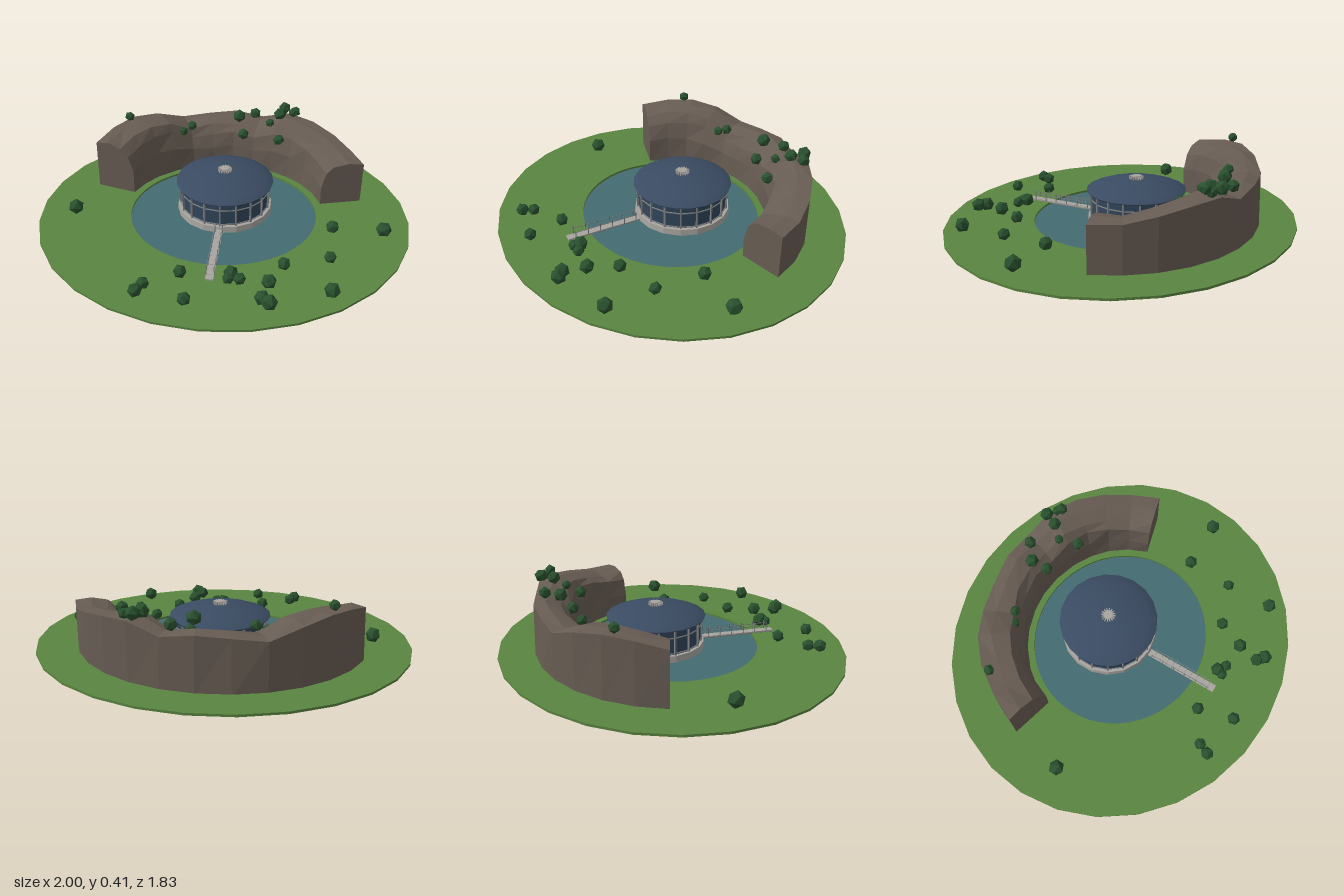
import * as THREE from 'three';

const mat = (name, color, extra = {}) => {
  const m = new THREE.MeshStandardMaterial({ color, ...extra });
  m.name = name;
  return m;
};

export function createModel() {
  const grass = mat('grass', 0x5a8540, { flatShading: true });
  const water = mat('water', 0x436b70);
  const rock = mat('rock', 0x675c53, { flatShading: true });
  const roofBlue = mat('roof blue', 0x3a4b62);
  const glassBlue = mat('glass blue', 0x31465c, { flatShading: true });
  const frameGrey = mat('frame grey', 0x7d8082);
  const stone = mat('pale stone', 0xa8a5a0, { flatShading: true });
  const leaf = mat('leaf green', 0x29502e, { flatShading: true });

  const root = new THREE.Group();
  root.name = 'lakesidePavilion';
  const group = (name, parent = root) => {
    const g = new THREE.Group();
    g.name = name;
    parent.add(g);
    return g;
  };
  const add = (parent, name, geo, material, x = 0, y = 0, z = 0) => {
    const m = new THREE.Mesh(geo, material);
    m.name = name;
    m.position.set(x, y, z);
    parent.add(m);
    return m;
  };

  // Grass island with an oval hole for the lake
  const oval = (rx, ry, n, cy = 0) => Array.from({ length: n }, (_, i) => {
    const a = (i / n) * Math.PI * 2;
    return new THREE.Vector2(Math.cos(a) * rx, Math.sin(a) * ry + cy);
  });
  const island = new THREE.Shape(oval(1, 0.917, 28));
  island.holes.push(new THREE.Path(oval(0.506, 0.47, 56, 0.005)));
  const islandGeo = new THREE.ExtrudeGeometry(island, { depth: 0.012, bevelEnabled: false });
  add(root, 'grassIsland', islandGeo.rotateX(-Math.PI / 2), grass, 0, 0.021, 0);

  // Lake
  const lake = new THREE.CylinderGeometry(1, 1, 0.021, 56).scale(0.533, 1, 0.491);
  add(root, 'lake', lake, water, 0, 0.0105, 0);

  // Cliff: a rocky cross-section swept round the back of the lake
  let seed = 11;
  const rand = () => (seed = (seed * 16807) % 2147483647) / 2147483647;
  const heights = [0.325, 0.345, 0.355, 0.345, 0.275, 0.295, 0.305, 0.29, 0.335, 0.33, 0.305, 0.278, 0.275];
  const section = [[0, 0], [0.03, 0.5], [0.13, 0.8], [0.28, 0.93], [0.65, 1], [0.97, 0.97], [1, 0]];
  const base = 0.016;
  const n = section.length;
  const rows = heights.map((h, i) => {
    const a = THREE.MathUtils.degToRad(164 - (148 * i) / (heights.length - 1));
    return section.map(([s, v], j) => {
      const edge = j === 0 || j === n - 1;
      const t = edge ? s : Math.min(1, s + (rand() - 0.5) * 0.08);
      const y = edge ? base : base + (h - base) * v + (rand() - 0.5) * 0.022;
      return [Math.cos(a) * (0.55 + 0.23 * t), y, -Math.sin(a) * (0.51 + 0.215 * t)];
    });
  });
  const index = [];
  for (let i = 0; i < rows.length - 1; i++) {
    for (let j = 0; j < n; j++) {
      const k = (j + 1) % n;
      const a = i * n + j, b = (i + 1) * n + j, c = (i + 1) * n + k, d = i * n + k;
      index.push(a, b, c, a, c, d);
    }
  }
  const last = (rows.length - 1) * n;
  for (let j = 1; j < n - 1; j++) index.push(0, j, j + 1, last, last + j + 1, last + j);
  const cliff = new THREE.BufferGeometry();
  cliff.setAttribute('position', new THREE.Float32BufferAttribute(rows.flat(2), 3));
  cliff.setIndex(index);
  const cliffGeo = cliff.toNonIndexed();
  cliffGeo.computeVertexNormals();
  add(root, 'cliff', cliffGeo, rock);

  // Round glass pavilion standing in the lake
  const pavilion = group('pavilion');
  pavilion.position.z = -0.08;
  const sides = 18;
  add(pavilion, 'plinth', new THREE.CylinderGeometry(0.258, 0.262, 0.034, sides), stone, 0, 0.037, 0);
  add(pavilion, 'glassWall', new THREE.CylinderGeometry(0.24, 0.24, 0.14, sides), glassBlue, 0, 0.124, 0);
  for (let i = 0; i < sides; i++) {
    const a = (i / sides) * Math.PI * 2;
    add(pavilion, 'mullion', new THREE.BoxGeometry(0.008, 0.142, 0.01), frameGrey,
      Math.sin(a) * 0.244, 0.124, Math.cos(a) * 0.244).rotation.y = a;
  }
  for (const y of [0.06, 0.145, 0.185]) {
    const ring = new THREE.TorusGeometry(0.241, 0.004, 6, sides).rotateX(Math.PI / 2);
    add(pavilion, 'wallRail', ring, frameGrey, 0, y, 0).rotation.y = Math.PI / 2;
  }
  // Shallow domed roof
  const dome = [[0, 0.188], [0.262, 0.188], [0.265, 0.196]];
  for (const r of [0.22, 0.165, 0.11, 0.055, 0]) dome.push([r, 0.196 + 0.056 * (1 - (r / 0.265) ** 2)]);
  add(pavilion, 'domedRoof',
    new THREE.LatheGeometry(dome.map(([r, y]) => new THREE.Vector2(r, y)), 20), roofBlue);
  // Ribbed vent at the crown
  add(pavilion, 'roofVent', new THREE.CylinderGeometry(0.025, 0.025, 0.02, 16), stone, 0, 0.257, 0);
  for (let i = 0; i < 16; i++) {
    const a = (i / 16) * Math.PI * 2;
    add(pavilion, 'ventFin', new THREE.BoxGeometry(0.005, 0.014, 0.016), stone,
      Math.sin(a) * 0.03, 0.257, Math.cos(a) * 0.03).rotation.y = a;
  }

  // Plank footbridge with railings
  const bridge = group('footbridge');
  for (let i = 0; i < 11; i++) {
    add(bridge, 'plank', new THREE.BoxGeometry(0.04, 0.008, 0.0355), stone, 0, 0.041, 0.203 + i * 0.037);
  }
  add(bridge, 'beam', new THREE.BoxGeometry(0.028, 0.008, 0.4), frameGrey, 0, 0.035, 0.385);
  for (const side of [-1, 1]) {
    for (let i = 0; i < 6; i++) {
      add(bridge, 'railPost', new THREE.BoxGeometry(0.004, 0.048, 0.004), frameGrey,
        side * 0.02, 0.066, 0.21 + i * 0.068);
    }
    add(bridge, 'handrail', new THREE.BoxGeometry(0.003, 0.003, 0.35), frameGrey, side * 0.02, 0.076, 0.385);
  }

  // Bushes: [x, z, radius] on the grass
  const bushes = group('bushes');
  const bushGeo = new THREE.IcosahedronGeometry(1, 0);
  const bush = (x, y, z, r, i) => {
    const m = add(bushes, 'bush', bushGeo, leaf, x, y, z);
    m.scale.setScalar(r * 1.06);
    m.rotation.set(0.3, i * 1.3, 0.2);
  };
  [[-0.8, 0.09, 0.04], [0.59, 0.115, 0.035], [0.855, 0.115, 0.04], [0.575, 0.37, 0.031],
    [0.35, 0.45, 0.033], [0.1, 0.555, 0.037], [0.09, 0.588, 0.029], [0.145, 0.585, 0.03],
    [0.285, 0.595, 0.037], [0.58, 0.625, 0.038], [-0.145, 0.567, 0.033], [-0.305, 0.67, 0.032],
    [-0.33, 0.725, 0.034], [-0.095, 0.757, 0.033], [0.26, 0.712, 0.036], [0.295, 0.742, 0.038],
  ].forEach(([x, z, r], i) => bush(x, 0.031 + r * 0.9, z, r, i));
  // Bushes: [x, y, z, radius] on the cliff
  [[-0.595, 0.38, -0.41, 0.027], [-0.295, 0.265, -0.48, 0.027], [-0.245, 0.293, -0.505, 0.028],
    [0.03, 0.338, -0.575, 0.036], [0.06, 0.25, -0.513, 0.032], [0.12, 0.326, -0.648, 0.032],
    [0.215, 0.328, -0.525, 0.025], [0.27, 0.358, -0.585, 0.035], [0.295, 0.368, -0.65, 0.035],
    [0.345, 0.355, -0.62, 0.026], [0.36, 0.375, -0.595, 0.03], [0.272, 0.262, -0.442, 0.032],
  ].forEach(([x, y, z, r], i) => bush(x, y, z, r, i + 20));

  return root;
}
